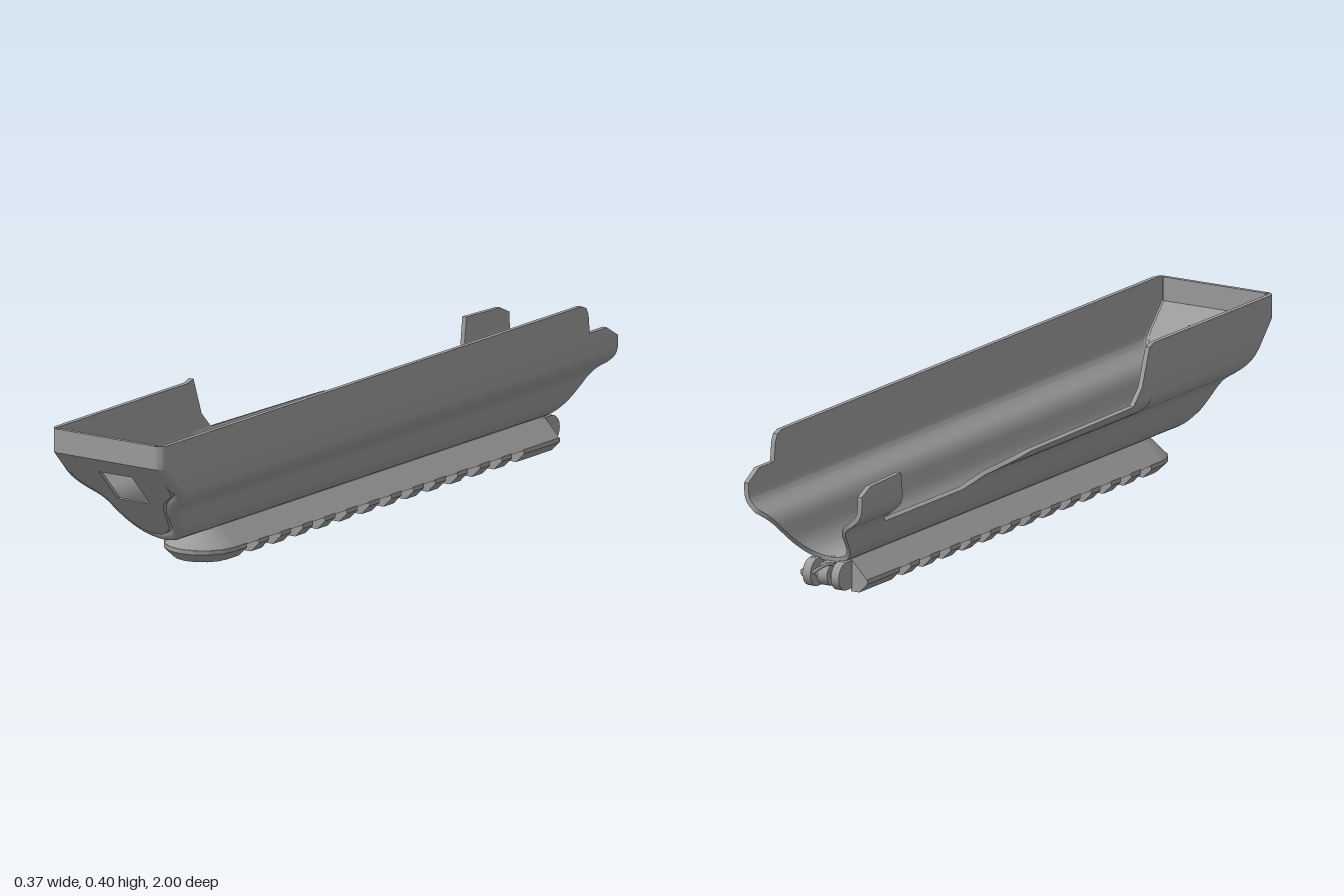
import * as THREE from 'three';
import { toCreasedNormals } from 'three/addons/utils/BufferGeometryUtils.js';

const CX = 0.007;      // centre line of the body
const WALL = 0.012;    // shell thickness
const ROUND = 0.025;   // front edge rounding
const TOP = 0.398;

// piecewise-linear lookup
function pl(table, v) {
  if (v <= table[0][0]) return table[0][1];
  for (let i = 1; i < table.length; i++) {
    const [a, p] = table[i - 1], [b, q] = table[i];
    if (v <= b) return p + (q - p) * (v - a) / (b - a);
  }
  return table[table.length - 1][1];
}

// half cross-section of the trough, from keel to rim
const curve = new THREE.SplineCurve([
  [0, 0.072], [0.03, 0.077], [0.06, 0.092], [0.085, 0.12], [0.1, 0.155], [0.108, 0.178],
  [0.122, 0.198], [0.145, 0.214], [0.165, 0.231], [0.176, 0.25], [0.179, 0.272],
].map(p => new THREE.Vector2(...p)));
const keys = curve.getPoints(26);
for (const y of [0.305, 0.335, 0.365, TOP]) keys.push(new THREE.Vector2(0.179, y));
const normals = keys.map((p, i) => {
  if (i === 0) return new THREE.Vector2(0, -1);
  const t = keys[Math.min(i + 1, keys.length - 1)].clone().sub(keys[i - 1]).normalize();
  return new THREE.Vector2(t.y, -t.x);
});
const tableOf = f => keys.map((p, i) => [p.y, f(p, normals[i])]);
const uAt = tableOf(p => p.x), nuAt = tableOf((p, n) => n.x), nyAt = tableOf((p, n) => n.y);

// end planes and rim heights
const zFront = y => Math.min(1, 0.8 + (y - 0.12) * 0.93);
const zBack = y => Math.max(-1, -1 + (0.213 - y));
const leftRim = [[-1, 0.3], [-0.96, 0.32], [-0.81, 0.325], [-0.79, 0.19], [-0.77, 0.178], [-0.4, 0.178],
  [-0.36, 0.187], [-0.2, 0.248], [0.29, 0.255], [0.33, 0.3], [0.365, TOP]];
const rightRim = [[-1, 0.29], [-0.95, 0.32], [-0.875, 0.32], [-0.87, 0.37], [-0.86, 0.39], [-0.84, TOP]];
const flareZ = [[-0.32, 0], [-0.2, 1], [0.37, 1], [0.41, 0]];
const flareY = [[0.2, 0], [0.25, 1]];

// one closed loop of the shell: outer side left to right, inner side back
function section(zOf, t, inset) {
  const cols = [];
  for (let k = keys.length - 1; k > 0; k--) cols.push([-1, k]);
  for (let k = 0; k < keys.length; k++) cols.push([1, k]);
  const make = off => cols.map(([side, k]) => {
    const y = Math.min(keys[k].y, pl(side < 0 ? leftRim : rightRim, t));
    const flare = side < 0 ? 0.016 * pl(flareZ, t) * pl(flareY, y) : 0;
    const u = pl(uAt, y) - off * pl(nuAt, y);
    return [CX + side * (u + flare), y - off * pl(nyAt, y), zOf(y)];
  });
  return [...make(inset), ...make(Math.max(inset, WALL) + 0.001).reverse()];
}

function shellGeometry() {
  const rows = [];
  for (const f of [0, 0.1, 0.3, 0.6, 1]) {
    const d = f * ROUND;
    const inset = ROUND - Math.sqrt(ROUND ** 2 - (ROUND - d) ** 2);
    rows.push(section(y => zFront(y) - d, 1, inset));
  }
  const stops = new Set([...leftRim, ...rightRim, ...flareZ].map(p => p[0]));
  for (let i = 0; i <= 49; i++) stops.add(+(0.96 - i * 0.04).toFixed(2));
  for (const t of [...stops].sort((a, b) => b - a)) {
    rows.push(section(y => Math.max(zBack(y), Math.min(t, zFront(y) - ROUND)), t, 0));
  }
  const n = rows[0].length, index = [];
  for (let j = 0; j < rows.length - 1; j++) {
    for (let i = 0; i < n; i++) {
      const a = j * n + i, b = j * n + (i + 1) % n, c = a + n, d = b + n;
      index.push(a, c, b, b, c, d);
    }
  }
  // end rims
  const last = (rows.length - 1) * n;
  for (let i = 0; i < n / 2 - 1; i++) {
    const p = n - 1 - i;
    index.push(i, i + 1, p, i + 1, p - 1, p);
    index.push(last + i, last + p, last + i + 1, last + i + 1, last + p, last + p - 1);
  }
  const g = new THREE.BufferGeometry();
  g.setAttribute('position', new THREE.Float32BufferAttribute(rows.flat(2), 3));
  g.setIndex(index);
  return toCreasedNormals(g, 0.6);
}

// sloping front wall with its rectangular opening
function frontGeometry() {
  const half = keys.map((p, i) => [p.x - ROUND * normals[i].x, p.y - ROUND * normals[i].y, p.y])
    .filter(p => p[2] < 0.336);
  const pts = [...half.slice(1).reverse().map(p => [CX - p[0], p[1]]), ...half.map(p => [CX + p[0], p[1]])];
  const shape = new THREE.Shape(pts.map(p => new THREE.Vector2(...p)));
  const hole = [[-0.045, 0.205], [-0.045, 0.292], [0.06, 0.292], [0.06, 0.205]];
  shape.holes.push(new THREE.Path(hole.map(p => new THREE.Vector2(...p))));
  const g = new THREE.ExtrudeGeometry(shape, { depth: WALL, bevelEnabled: false });
  const pos = g.attributes.position;
  for (let i = 0; i < pos.count; i++) pos.setZ(i, pos.getZ(i) + zFront(pos.getY(i)) - WALL);
  g.computeVertexNormals();
  return g;
}

// prism of an x-y outline between two z values
function prism(points, z0, z1) {
  const shape = new THREE.Shape(points.map(p => new THREE.Vector2(...p)));
  return new THREE.ExtrudeGeometry(shape, { depth: z1 - z0, bevelEnabled: false }).translate(0, 0, z0);
}

export function createModel() {
  const model = new THREE.Group();
  const grey = new THREE.MeshStandardMaterial({ color: 0x9c9c9c });
  grey.name = 'grey';
  const add = (name, geometry, x = 0, y = 0, z = 0, parent = model) => {
    const m = new THREE.Mesh(geometry, grey);
    m.name = name;
    m.position.set(x, y, z);
    parent.add(m);
    return m;
  };

  // trough body
  add('troughShell', shellGeometry());
  add('frontWall', frontGeometry());
  add('frontLip', new THREE.BoxGeometry(0.308, TOP - 0.335, WALL), CX, (TOP + 0.335) / 2, 1 - WALL / 2);

  // accessory rail under the body
  const rail = new THREE.Group();
  rail.name = 'rail';
  rail.position.x = CX;
  model.add(rail);
  const zNose = 0.575, zTail = -0.85;
  add('railBase', prism([[-0.102, 0.034], [0.102, 0.034], [0.052, 0.086], [-0.052, 0.086]], zTail, zNose),
    0, 0, 0, rail);
  const half = pts => toCreasedNormals(new THREE.LatheGeometry(
    pts.map(p => new THREE.Vector2(...p)), 8, -Math.PI / 2, Math.PI), 0.3);
  add('railNose', half([[0, 0.034], [0.102, 0.034], [0.052, 0.086], [0, 0.086]]), 0, 0, zNose, rail);
  const tooth = [[0.052, 0], [0.077, 0], [0.102, 0.025], [0.102, 0.036], [0.052, 0.036]];
  add('noseRim', half([...tooth, tooth[0]]), 0, 0, zNose, rail);

  // teeth along both edges, separated by slots
  const pitch = 0.097, slots = 13;
  for (const s of [-1, 1]) {
    const outline = tooth.map(([u, y]) => [s * u, y]);
    for (let i = 0; i <= slots; i++) {
      const z1 = i === 0 ? zNose : 0.471 - (i - 1) * pitch;
      const z0 = i === slots ? zTail : 0.523 - i * pitch;
      add('railTooth', prism(outline, z0, z1), 0, 0, 0, rail);
    }
  }

  // domed screws in the channel
  for (const z of [0.59, 0, -0.6]) {
    const dome = new THREE.SphereGeometry(0.034, 16, 6, 0, Math.PI * 2, Math.PI / 2, Math.PI / 2);
    add('screwHead', dome.scale(1, 0.55, 1), 0, 0.034, z, rail);
  }

  // hinge knuckles and thin catch at the rear
  for (const [x, w] of [[-0.043, 0.024], [0, 0.03], [0.043, 0.024]]) {
    const r = x ? 0.037 : 0.03;
    add('hingeKnuckle', new THREE.CylinderGeometry(r, r, w, 20).rotateZ(Math.PI / 2), x, 0.046, -0.878, rail);
    add('hingeWeb', new THREE.BoxGeometry(w, r * 2, 0.04), x, 0.046, -0.86, rail);
  }
  add('hingePin', new THREE.CylinderGeometry(0.012, 0.012, 0.11, 12).rotateZ(Math.PI / 2), 0, 0.046, -0.88, rail);
  const path = new THREE.CatmullRomCurve3([[0.07, -0.88], [0.082, -0.91], [0.083, -0.95], [0.076, -1]]
    .map(([y, z]) => new THREE.Vector3(-0.025, y, z)));
  add('catchWire', new THREE.TubeGeometry(path, 12, 0.005, 8), 0, 0, 0, rail);
  return model;
}
